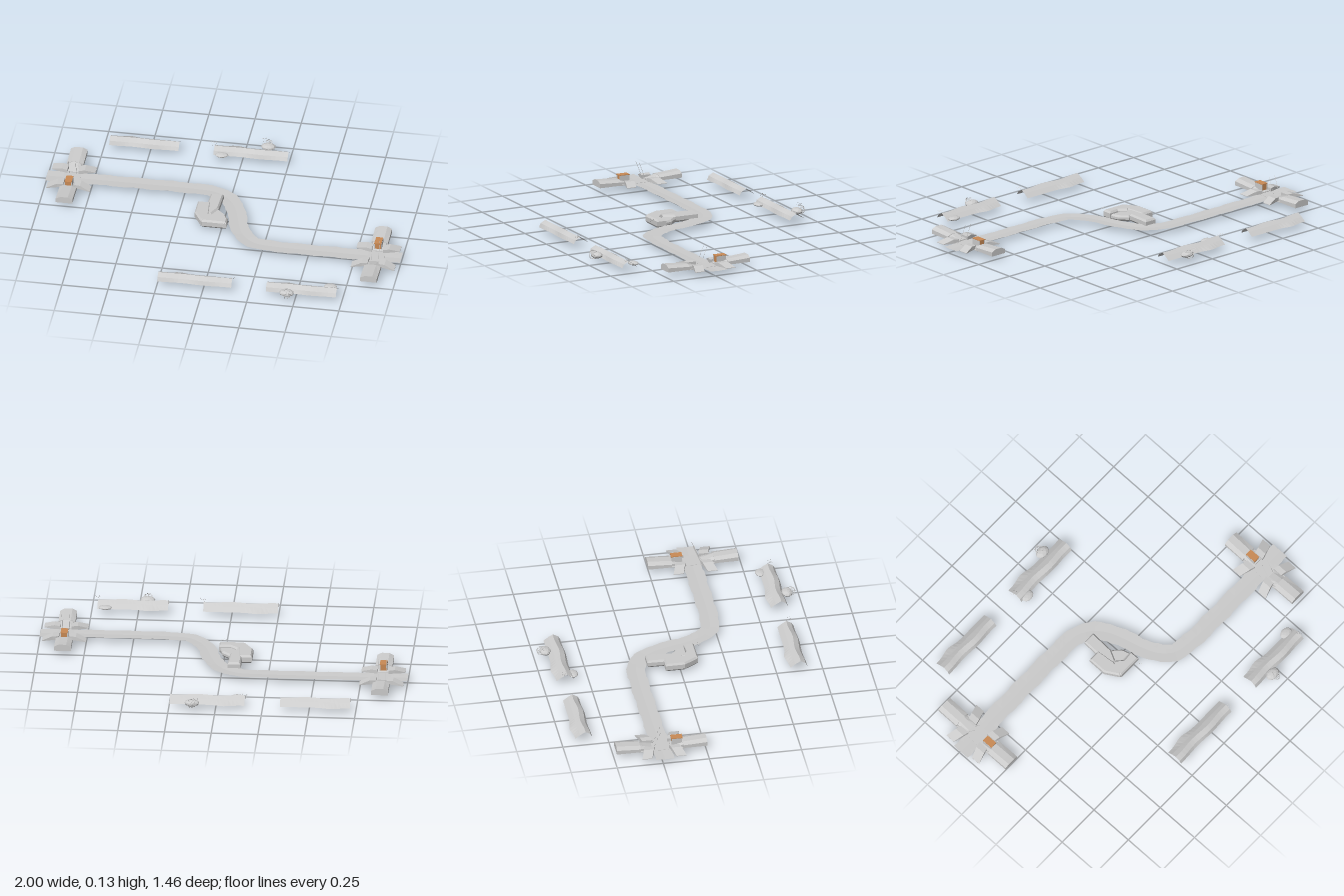
import * as THREE from 'three';

const G = 0.025; // ground level of the trench floor
const grey = new THREE.MeshStandardMaterial({ color: 0xcccccc, flatShading: true, side: THREE.DoubleSide });
const wood = new THREE.MeshStandardMaterial({ color: 0xc98a55, flatShading: true, side: THREE.DoubleSide });

function add(parent, name, geometry, x = 0, y = 0, z = 0, material = grey) {
  const m = new THREE.Mesh(geometry, material);
  m.name = name;
  m.position.set(x, y, z);
  parent.add(m);
  return m;
}

// Skin over a list of cross-sections (arrays of [x, y, z] of equal length)
function loft(rows, caps = false) {
  const n = rows[0].length, idx = [];
  for (let i = 0; i < rows.length - 1; i++) {
    for (let j = 0; j < n - 1; j++) {
      const a = i * n + j, b = a + n;
      idx.push(a, b, a + 1, b, b + 1, a + 1);
    }
  }
  if (caps) {
    const e = (rows.length - 1) * n;
    for (let j = 1; j < n - 1; j++) idx.push(0, j, j + 1, e, e + j + 1, e + j);
  }
  const g = new THREE.BufferGeometry();
  g.setAttribute('position', new THREE.Float32BufferAttribute(rows.flat(2), 3));
  g.setIndex(idx);
  g.computeVertexNormals();
  return g;
}

// Winding trench floor: a thin strip with uneven edges
function trenchFloor() {
  const pts = [[-1, -0.24], [-0.6, -0.245], [-0.2, -0.245], [-0.09, -0.235], [-0.02, -0.195], [0.035, -0.12],
    [0.07, -0.02], [0.095, 0.07], [0.13, 0.15], [0.2, 0.215], [0.3, 0.232], [0.6, 0.235], [1, 0.232]];
  const curve = new THREE.CatmullRomCurve3(pts.map(([x, z]) => new THREE.Vector3(x, G, z)));
  const rows = [];
  for (let i = 0; i <= 90; i++) {
    const p = curve.getPointAt(i / 90), t = curve.getTangentAt(i / 90);
    const wob = 0.003 * Math.sin(i * 0.9) + 0.002 * Math.sin(i * 2.3);
    const row = [];
    for (const s of [-1, -0.5, 0, 0.5, 1]) {
      const w = s * (0.05 + wob * s);
      const x = i === 0 ? -1 : i === 90 ? 1 : p.x - t.z * w;
      row.push([x, G + 0.002 * Math.abs(s), p.z + t.x * w]);
    }
    rows.push(row);
  }
  return loft(rows);
}

// Earth bank: steep on the +z side, shallow behind, open below and at the ends
function bank(x0, x1, back, front) {
  const rows = [], ridge = back + (front - back) * 0.58;
  for (let i = 0; i <= 18; i++) {
    const u = i / 18, x = x0 + (x1 - x0) * u;
    const w = 0.004 * Math.sin(u * 11 + 1), hump = 0.014 * Math.exp(-(((u - 0.27) / 0.12) ** 2));
    rows.push([
      [x, G, front + w * 0.6], [x, 0.045 + w * 0.5, (front + ridge) / 2 + 0.008 + w],
      [x, 0.06 + w * 0.4, ridge + w], [x, 0.045, (ridge + back) / 2], [x, G, back - hump],
    ]);
  }
  return loft(rows);
}

// Covered passage of faceted section running along z
function passage(z0, z1, half, h0, h1) {
  const section = (z, h) => [[-half, G, z], [-half, G + h * 0.65, z], [-half * 0.45, G + h, z],
    [half * 0.45, G + h, z], [half, G + h * 0.65, z], [half, G, z]];
  return loft([section(z0, h0), section(z0 * 0.3 + z1 * 0.7, (h0 + h1 * 2) / 3), section(z1, h1)], true);
}

// Crossing post with two passages, four sloping wings, a hut and a ladder
function makePost() {
  const post = new THREE.Group();
  post.name = 'trenchPost';
  for (const s of [-1, 1]) {
    add(post, 'passage', passage(s * 0.115, s * 0.245, 0.045, 0.026, 0.036));
    add(post, 'passageRamp', passage(s * 0.05, s * 0.118, 0.036, 0.006, 0.026));
    for (const e of [-1, 1]) {
      const outer = e < 0 ? -0.118 : 0.118;
      const at = (x, y, a, b) => [[x, G, s * a], [x, G + y, s * a], [x, G + y, s * b], [x, G, s * b]];
      add(post, 'wing', loft([at(outer, 0.003, 0.12, 0.066), at(e * 0.062, 0.022, 0.102, 0.048),
        at(e * 0.03, 0.02, 0.095, 0.04)], true));
    }
  }
  // Floor under the crossing
  add(post, 'crossingFloor', new THREE.BoxGeometry(0.09, 0.004, 0.25), 0, G, 0);
  // Hut with wooden roof and grey side walls
  add(post, 'hutRoof', new THREE.BoxGeometry(0.038, 0.004, 0.062), 0, 0.073, 0.085, wood);
  add(post, 'hutBody', new THREE.BoxGeometry(0.032, 0.034, 0.05), 0, 0.054, 0.085, wood);
  for (const s of [-1, 1]) add(post, 'hutWall', new THREE.BoxGeometry(0.004, 0.035, 0.056), s * 0.018, 0.054, 0.085);
  // Leaning ladder rails
  for (const s of [-1, 1]) {
    const rail = add(post, 'ladderRail', new THREE.CylinderGeometry(0.001, 0.001, 0.113, 4), s * 0.02, 0.078, -0.023);
    rail.rotation.x = Math.atan2(0.042, 0.105);
  }
  return post;
}

// Tangled shrub: squashed lump with bent twigs
function shrub(x, z, r) {
  const g = new THREE.Group();
  g.name = 'shrub';
  add(g, 'shrubLump', new THREE.IcosahedronGeometry(r, 1), 0, 0, 0).scale.set(1, 0.45, 0.75);
  for (let i = 0; i < 5; i++) {
    const twig = add(g, 'twig', new THREE.TorusGeometry(r * 0.6, 0.0015, 4, 9, 4.2), 0, 0.004, Math.sign(z) * r * 0.5);
    twig.rotation.set(1 + i * 0.3, i * 1.3, i * 0.8);
  }
  g.position.set(x, 0.04, z);
  return g;
}

// Small scattered splinters
function splinters(x, y, z, n) {
  const g = new THREE.Group();
  g.name = 'splinters';
  for (let i = 0; i < n; i++) {
    const a = i * 2.4, d = 0.006 * Math.sqrt(i);
    add(g, 'splinter', new THREE.TetrahedronGeometry(0.003), Math.cos(a) * d, 0.006 * Math.sin(i * 1.7), Math.sin(a) * d);
  }
  g.position.set(x, y, z);
  return g;
}

// Dugout of angular earth walls beside the bend, with a sunken pit
function makeDugout() {
  const g = new THREE.Group();
  g.name = 'dugout';
  const slab = (name, pts, h, y = G) => {
    const shape = new THREE.Shape(pts.map(([x, z]) => new THREE.Vector2(x, -z)));
    const geo = new THREE.ExtrudeGeometry(shape, {
      depth: h - 0.01, bevelEnabled: true, bevelThickness: 0.01, bevelSize: 0.008, bevelOffset: -0.008, bevelSegments: 1,
    });
    geo.rotateX(-Math.PI / 2);
    add(g, name, geo, 0, y, 0);
  };
  slab('entranceWall', [[-0.1, -0.175], [-0.03, -0.175], [-0.035, -0.04], [-0.065, 0.02], [-0.105, 0.02]], 0.032);
  slab('sideWall', [[-0.155, -0.085], [-0.085, -0.085], [-0.075, 0.02], [-0.09, 0.09], [-0.11, 0.095], [-0.155, 0.02]], 0.036);
  slab('endWall', [[-0.12, 0.045], [-0.07, 0.015], [-0.03, 0.05], [0.03, 0.045], [0.03, 0.1], [-0.105, 0.1]], 0.036);
  slab('innerStep', [[-0.08, -0.03], [-0.03, -0.04], [0.01, 0.0], [0.025, 0.05], [-0.07, 0.05]], 0.022);
  add(g, 'pit', new THREE.CylinderGeometry(0.035, 0.012, G, 6), -0.06, G / 2, 0.02);
  return g;
}

export function createModel() {
  const model = new THREE.Group();
  model.name = 'trenchField';
  add(model, 'trenchFloor', trenchFloor());

  // Posts at both ends, turned half a circle to each other
  for (const s of [-1, 1]) {
    const post = makePost();
    post.position.set(s * 0.865, 0, s * 0.24);
    if (s > 0) post.rotation.y = Math.PI;
    model.add(post);
  }
  model.add(makeDugout());

  // Four earth banks
  for (const [x0, x1, back, front] of [[-0.72, -0.345, -0.677, -0.587], [-0.155, 0.245, -0.677, -0.585],
    [-0.248, 0.152, 0.575, 0.665], [0.34, 0.718, 0.575, 0.665]]) {
    add(model, 'earthBank', bank(x0, x1, back, front));
  }

  // Shrubs, clods and splinters around the banks
  model.add(shrub(0.125, -0.69, 0.04), shrub(0.455, 0.682, 0.04));
  for (const [x, z] of [[-0.11, -0.58], [0.675, 0.575]]) {
    add(model, 'clod', new THREE.IcosahedronGeometry(0.036, 1), x, 0.034, z).scale.set(1, 0.3, 0.75);
  }
  for (const [x, z] of [[-0.16, -0.635], [0.155, 0.64], [0.715, 0.635], [0.1, -0.715]]) {
    model.add(splinters(x, 0.068, z, 9));
  }
  model.add(splinters(0.01, 0.06, 0.125, 6));
  return model;
}
